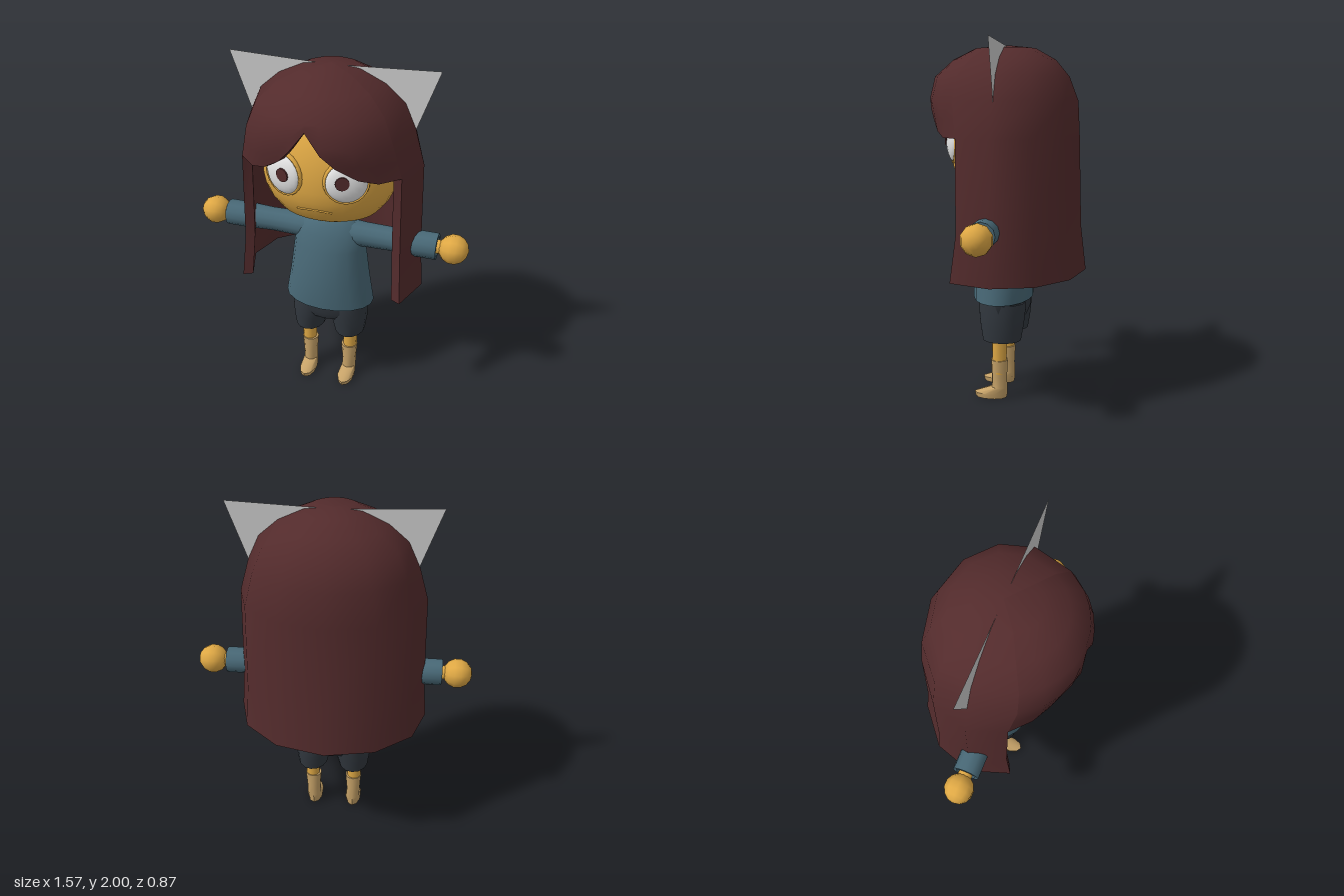
import * as THREE from 'three';
import { toCreasedNormals } from 'three/addons/utils/BufferGeometryUtils.js';

const mat = (name, color, side = THREE.FrontSide) => {
  const m = new THREE.MeshStandardMaterial({ color, side });
  m.name = name;
  return m;
};
const rad = THREE.MathUtils.degToRad;

// Surface through rows of points
function grid(rows, crease = 0.8) {
  const n = rows[0].length, index = [];
  for (let j = 0; j < rows.length - 1; j++) {
    for (let i = 0; i < n - 1; i++) {
      const a = j * n + i, b = a + 1, c = b + n, d = a + n;
      index.push(a, b, c, a, c, d);
    }
  }
  const g = new THREE.BufferGeometry();
  g.setAttribute('position', new THREE.Float32BufferAttribute(rows.flat(2), 3));
  g.setIndex(index);
  return toCreasedNormals(g, crease);
}

// Closed stack of ellipses, bottom to top: [y, rx, rz, cx, cz]
function loft(sections, sides = 14, crease = 0.8) {
  const first = sections[0], last = sections[sections.length - 1];
  const cap = s => [s[0], 0, 0, s[3], s[4]];
  return grid([cap(first), ...sections, cap(last)].map(([y, rx, rz, cx, cz]) =>
    Array.from({ length: sides + 1 }, (_, i) => {
      const a = (i / sides) * Math.PI * 2;
      return [cx + rx * Math.sin(a), y, cz + rz * Math.cos(a)];
    })), crease);
}

// Hair outline: [y, half width, depth to front, depth to back]
const HAIR = [
  [1.99, 0, 0, 0], [1.972, 0.15, 0.19, 0.15], [1.91, 0.285, 0.31, 0.26],
  [1.82, 0.39, 0.41, 0.335], [1.69, 0.45, 0.44, 0.385], [1.5, 0.505, 0.39, 0.395],
  [1.0, 0.52, 0.39, 0.41], [0.75, 0.54, 0.45, 0.44],
];
function hairPoint(deg, y, inner) {
  let k = 0;
  while (k < HAIR.length - 2 && HAIR[k + 1][0] > y) k++;
  const A = HAIR[k], B = HAIR[k + 1], t = (A[0] - y) / (A[0] - B[0]);
  const [, w, f, b] = A.map((v, i) => v + (B[i] - v) * t);
  const s = Math.sin(rad(deg)), c = Math.cos(rad(deg)), q = inner ? 0.89 : 1;
  const drop = inner && y > 1.8 ? 0.05 : 0;
  return [q * w * s, y - drop, q * (c > 0 ? f : b) * c];
}
// Thick hair shell over the given angles; levels(deg) lists heights top to bottom
function hairShell(angles, levels) {
  const column = (deg, rim) => {
    const ys = levels(deg);
    const inside = ys.map(y => hairPoint(deg, y, true));
    const outside = ys.map(y => hairPoint(deg, y, rim)).reverse();
    return [...inside, ...outside];
  };
  const last = angles[angles.length - 1];
  const cols = [column(angles[0], true), ...angles.map(a => column(a, false)), column(last, true)];
  return grid(cols[0].map((_, j) => cols.map(c => c[j])), 0.75);
}

export function createModel() {
  const root = new THREE.Group();
  root.name = 'figure';
  const skin = mat('skin', 0xe0a945);
  const hair = mat('hair', 0x532b2c, THREE.DoubleSide);
  const shirt = mat('shirt', 0x486876, THREE.DoubleSide);
  const shorts = mat('shorts', 0x32383f);
  const boots = mat('boots', 0xc6a268);
  const white = mat('eyeWhite', 0xf2f2f2);
  const earMat = mat('ear', 0xcccccc, THREE.DoubleSide);
  const add = (name, geo, material, parent = root) => {
    const m = new THREE.Mesh(geo, material);
    m.name = name;
    parent.add(m);
    return m;
  };

  // Hair: long back with side curtains, and parted bangs
  const backAngles = Array.from({ length: 9 }, (_, i) => 59 + i * 30.25);
  add('longHair', hairShell(backAngles, () => HAIR.map(r => r[0])), hair);
  const edge = { 0: 1.78, 10: 1.675, 18: 1.6, 30: 1.53, 42: 1.5, 59: 1.5 };
  const bangAngles = [-59, -42, -30, -18, -10, 0, 10, 18, 30, 42, 59];
  add('bangs', hairShell(bangAngles, deg => {
    const e = edge[Math.abs(deg)];
    const top = HAIR.slice(0, 4).map(r => r[0]);
    const mid = Math.max(1.69, (1.82 + e) / 2);
    return [...top, mid, (mid + e) / 2, e];
  }), hair);

  // Head and neck
  add('head', loft([
    [1.14, 0.06], [1.15, 0.14], [1.175, 0.21], [1.21, 0.28], [1.28, 0.335], [1.34, 0.36],
    [1.4, 0.37], [1.48, 0.368], [1.56, 0.355], [1.65, 0.32], [1.74, 0.26], [1.82, 0.16], [1.85, 0.06],
  ].map(([y, r]) => [y, r, r * 0.78, 0, 0.03]), 28, 1.5), skin);
  add('neck', new THREE.CylinderGeometry(0.06, 0.065, 0.14, 12), skin).position.set(0, 1.13, 0.02);
  const lip = new THREE.CatmullRomCurve3([
    new THREE.Vector3(-0.095, 1.288, 0.281), new THREE.Vector3(0, 1.296, 0.292),
    new THREE.Vector3(0.095, 1.288, 0.281)]);
  add('mouth', new THREE.TubeGeometry(lip, 10, 0.008, 6), skin);

  // Torso of the shirt
  add('shirtBody', loft([
    [0.58, 0.265, 0.168, 0, 0.03], [0.75, 0.235, 0.176, 0, 0.028], [0.95, 0.208, 0.15, 0, 0.025],
    [1.04, 0.2, 0.125, 0, 0.025], [1.105, 0.15, 0.095, 0, 0.025], [1.13, 0.1, 0.075, 0, 0.02],
  ], 18), shirt);

  // Hips of the shorts
  add('hips', loft([
    [0.47, 0.18, 0.12, 0, 0.02], [0.52, 0.226, 0.143, 0, 0.02], [0.6, 0.237, 0.15, 0, 0.02],
  ], 16), shorts);

  for (const s of [1, -1]) {
    const side = s > 0 ? 'left' : 'right';

    // Flat pointed ears
    const ear = new THREE.Shape([
      new THREE.Vector2(s * 0.56, 2), new THREE.Vector2(s * 0.05, 1.98), new THREE.Vector2(s * 0.42, 1.6)]);
    add(side + 'Ear', new THREE.ShapeGeometry(ear), earMat);

    // Eye with lid rim and iris
    const eye = new THREE.Group();
    eye.name = side + 'Eye';
    eye.position.set(s * 0.167, 1.475, 0.272);
    eye.rotation.y = s * 0.36;
    root.add(eye);
    add('eyeball', new THREE.SphereGeometry(1, 20, 14), white, eye).scale.set(0.112, 0.115, 0.045);
    add('eyelidRim', new THREE.TorusGeometry(0.112, 0.009, 6, 24), skin, eye).scale.set(1, 1.03, 1.8);
    const iris = add('iris', new THREE.CylinderGeometry(0.037, 0.037, 0.008, 16), hair, eye);
    iris.rotation.x = Math.PI / 2;
    iris.position.set(-s * 0.024, 0.012, 0.044);

    // Sleeve with a hollow cuff, wrist and hand
    const arm = new THREE.Group();
    arm.name = side + 'Arm';
    arm.position.set(0, 1.033, 0.03);
    arm.rotation.z = -s * Math.PI / 2;
    root.add(arm);
    const sleeve = [[0.08, 0.08], [0.07, 0.2], [0.067, 0.35], [0.074, 0.5], [0.074, 0.615], [0.055, 0.615], [0.05, 0.52], [0, 0.52]];
    add('sleeve', toCreasedNormals(new THREE.LatheGeometry(
      sleeve.map(p => new THREE.Vector2(...p)), 12), 0.7), shirt, arm);
    add('wrist', new THREE.CylinderGeometry(0.04, 0.04, 0.14, 10), skin, arm).position.y = 0.58;
    add('hand', new THREE.SphereGeometry(0.083, 10, 7), skin, arm).position.y = 0.702;

    // Shorts leg, shin and boot
    add(side + 'ShortsLeg', loft([
      [0.35, 0.089, 0.11, s * 0.125, 0.02], [0.44, 0.106, 0.125, s * 0.12, 0.02],
      [0.5, 0.116, 0.132, s * 0.113, 0.02], [0.57, 0.12, 0.135, s * 0.11, 0.02],
    ], 14), shorts);
    add(side + 'Leg', new THREE.CylinderGeometry(0.045, 0.04, 0.26, 10), skin).position.set(s * 0.13, 0.28, 0.033);
    add(side + 'Boot', loft([
      [0, 0.046, 0.09, s * 0.123, 0.084], [0.028, 0.05, 0.097, s * 0.123, 0.084],
      [0.065, 0.042, 0.046, s * 0.125, 0.034], [0.13, 0.042, 0.044, s * 0.126, 0.034],
      [0.23, 0.05, 0.049, s * 0.126, 0.034],
    ], 10), boots);
  }
  return root;
}
